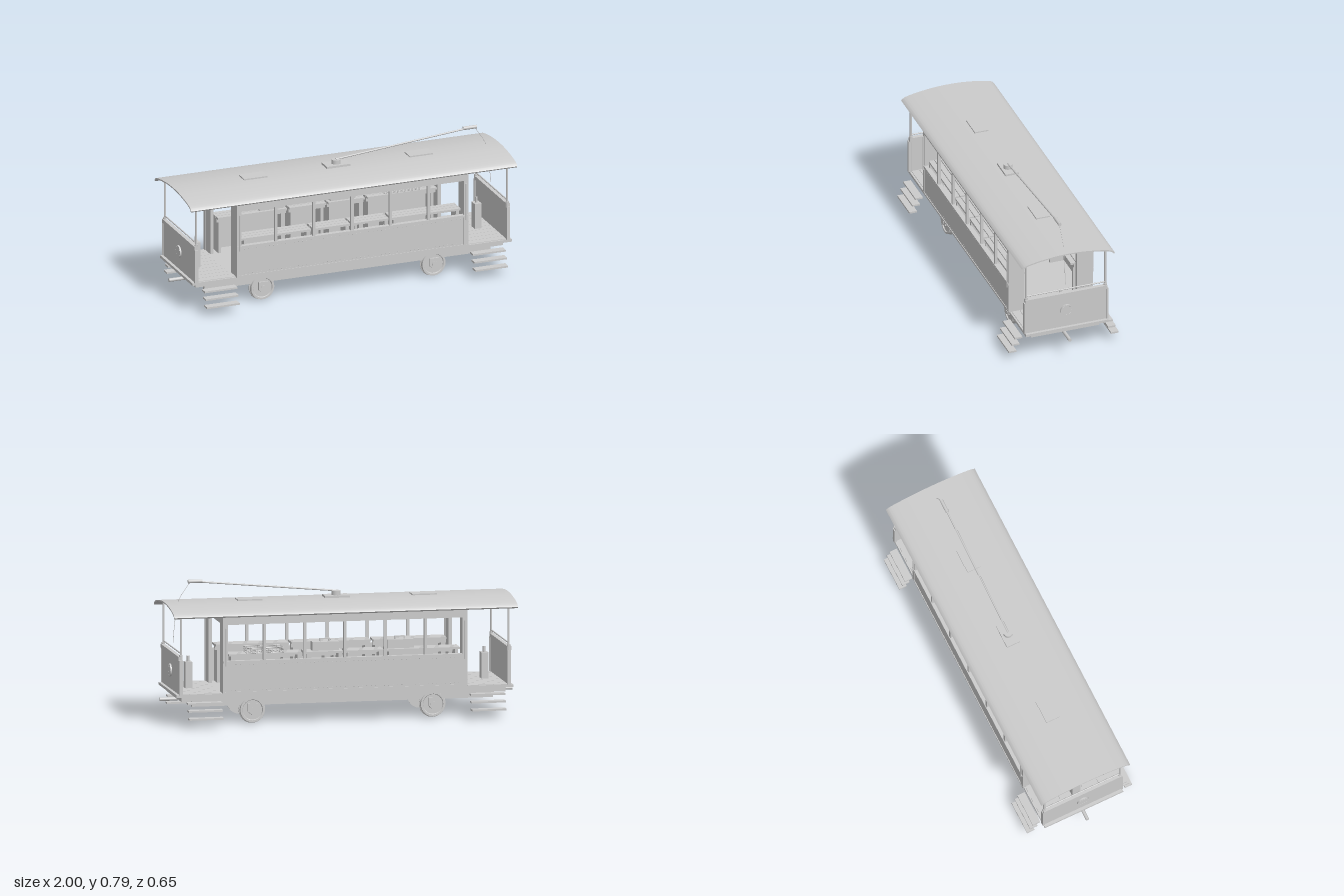
import * as THREE from 'three';
import { toCreasedNormals } from 'three/addons/utils/BufferGeometryUtils.js';

const mat = new THREE.MeshStandardMaterial({ color: 0xcccccc });
const SIDES = [-1, 1];

export function createModel() {
  const root = new THREE.Group();
  root.name = 'tramCar';

  const add = (name, geo, x = 0, y = 0, z = 0) => {
    const m = new THREE.Mesh(geo, mat);
    m.name = name;
    m.position.set(x, y, z);
    root.add(m);
    return m;
  };
  // box from its min/max extents
  const box = (name, x0, x1, y0, y1, z0, z1) =>
    add(name, new THREE.BoxGeometry(Math.abs(x1 - x0), y1 - y0, Math.abs(z1 - z0)),
      (x0 + x1) / 2, (y0 + y1) / 2, (z0 + z1) / 2);
  // round bar between two points
  const rod = (name, a, b, r, seg = 10) => {
    const p = new THREE.Vector3(...a), q = new THREE.Vector3(...b);
    const d = q.clone().sub(p);
    const m = add(name, new THREE.CylinderGeometry(r, r, d.length(), seg), ...p.clone().add(q).multiplyScalar(0.5));
    m.quaternion.setFromUnitVectors(new THREE.Vector3(0, 1, 0), d.normalize());
    return m;
  };

  // Arched roof: thin cross-section swept along the car
  const half = [[0, 0.667], [0.07, 0.665], [0.14, 0.658], [0.2, 0.649], [0.245, 0.639], [0.264, 0.63], [0.275, 0.619]];
  const arch = [...half.slice(1).reverse().map(([z, y]) => [-z, y]), ...half].map(p => new THREE.Vector2(...p));
  const top = new THREE.SplineCurve(arch).getPoints(48);
  const under = top.map(p => new THREE.Vector2(p.x * 0.98, p.y - 0.007)).reverse();
  const roofGeo = new THREE.ExtrudeGeometry(new THREE.Shape([...top, ...under]), { depth: 1.95, bevelEnabled: false });
  roofGeo.translate(0, 0, -0.975).rotateY(Math.PI / 2);
  add('roof', toCreasedNormals(roofGeo, 0.6));
  for (const s of SIDES) {
    box('roofPurlin', -0.93, 0.93, 0.632, 0.646, s * 0.178, s * 0.196);
    box('roofHatch', s * 0.425, s * 0.565, 0.655, 0.674, -0.04, 0.04);
  }

  // Trolley pole, its base and the pull rope
  box('trolleyBase', -0.07, 0.07, 0.66, 0.678, -0.04, 0.04);
  rod('trolleyPivot', [0, 0.678, 0], [0, 0.702, 0], 0.026, 24);
  rod('trolleyPole', [0, 0.702, 0], [0.8, 0.778, 0], 0.005);
  rod('trolleyHead', [0.76, 0.779, 0], [0.84, 0.779, 0], 0.01, 16);
  const rope = new THREE.CatmullRomCurve3([[0.83, 0.775, 0], [0.895, 0.67, 0], [0.915, 0.55, 0], [0.925, 0.44, 0]]
    .map(p => new THREE.Vector3(...p)));
  add('trolleyRope', new THREE.TubeGeometry(rope, 20, 0.0015, 5));

  // Floor, frame and underframe
  box('floor', -0.955, 0.955, 0.165, 0.18, -0.243, 0.243);
  box('chassis', -0.92, 0.92, 0.135, 0.16, -0.2, 0.2);
  box('floorPacking', -0.9, 0.9, 0.16, 0.165, -0.18, 0.18);
  for (const s of SIDES) {
    box('soleBar', -0.855, 0.855, 0.102, 0.135, s * 0.152, s * 0.175);
    for (let i = 0; i < 10; i++)
      box('floorPlank', s * 0.7, s * 0.92, 0.18, 0.183, -0.235 + i * 0.047, -0.191 + i * 0.047);
  }

  // Wheelsets: flanged wheels, axle and axle boxes
  const wheelProfile = [[0, -0.011], [0.075, -0.011], [0.075, -0.007], [0.07, -0.004], [0.069, 0.014], [0.058, 0.014],
    [0.055, 0.008], [0.026, 0.008], [0.024, 0.018], [0, 0.018]].map(p => new THREE.Vector2(...p));
  const wheelGeo = toCreasedNormals(new THREE.LatheGeometry(wheelProfile, 40), 0.5);
  for (const x of [-0.512, 0.512]) {
    rod('axle', [x, 0.077, -0.185], [x, 0.077, 0.185], 0.012, 16);
    for (const s of SIDES) {
      add('wheel', wheelGeo, x, 0.075, s * 0.172).rotation.x = s * Math.PI / 2;
      box('axleBox', x - 0.028, x + 0.028, 0.066, 0.112, s * 0.186, s * 0.196);
      rod('axleCap', [x, 0.077, s * 0.19], [x, 0.077, s * 0.2], 0.016, 16);
    }
  }

  // Saloon sides: panel, sill, letterboard, window posts
  for (const s of SIDES) {
    box('sidePanel', -0.69, 0.69, 0.18, 0.36, s * 0.233, s * 0.247);
    box('sidePanelFoot', -0.69, 0.69, 0.18, 0.19, s * 0.24, s * 0.251);
    box('windowSill', -0.69, 0.69, 0.353, 0.364, s * 0.225, s * 0.253);
    box('letterboard', -0.69, 0.69, 0.567, 0.632, s * 0.235, s * 0.25);
    box('cantRail', -0.695, 0.695, 0.608, 0.622, s * 0.24, s * 0.255);
    for (let i = -2; i <= 2; i++)
      box('windowPost', i * 0.2285 - 0.008, i * 0.2285 + 0.008, 0.36, 0.57, s * 0.233, s * 0.248);
    for (const e of SIDES) {
      box('cornerPost', e * 0.665, e * 0.693, 0.18, 0.63, s * 0.228, s * 0.25);
      rod('grabRail', [e * 0.677, 0.335, s * 0.254], [e * 0.677, 0.55, s * 0.254], 0.004);
    }
    // rivet rows along the side panel
    const rivets = new THREE.InstancedMesh(new THREE.SphereGeometry(0.002, 6, 4), mat, 110);
    rivets.name = 'sideRivets';
    for (let i = 0; i < 110; i++)
      rivets.setMatrixAt(i, new THREE.Matrix4().makeTranslation(-0.67 + (i % 55) * 0.0248, i < 55 ? 0.2 : 0.343, s * 0.247));
    root.add(rivets);

    // Lengthwise bench in sections
    for (const [x0, x1] of [[-0.655, -0.24], [-0.225, -0.006], [0.006, 0.225], [0.24, 0.655]]) {
      for (let k = 0; k < 3; k++)
        box('benchSlat', x0, x1, 0.386, 0.398, s * (0.13 + k * 0.034), s * (0.16 + k * 0.034));
      box('benchApron', x0, x1, 0.364, 0.386, s * 0.15, s * 0.162);
      for (const x of [x0 + 0.02, x1 - 0.02])
        box('benchLeg', x - 0.008, x + 0.008, 0.18, 0.386, s * 0.15, s * 0.23);
    }
  }

  // Luggage on one bench: two suitcases and a wire basket
  for (const x of [-0.325, 0.1]) {
    box('suitcase', x - 0.075, x + 0.075, 0.398, 0.447, -0.2, -0.147);
    for (const d of SIDES) {
      box('suitcaseHandlePost', x + d * 0.022, x + d * 0.028, 0.447, 0.462, -0.177, -0.17);
      box('suitcaseLatch', x + d * 0.04, x + d * 0.05, 0.42, 0.43, -0.147, -0.143);
    }
    box('suitcaseHandle', x - 0.028, x + 0.028, 0.459, 0.465, -0.178, -0.169);
  }
  for (const y of [0.402, 0.416, 0.428]) {
    for (const z of [-0.135, -0.23]) rod('basketWire', [0.345, y, z], [0.555, y, z], 0.0018, 5);
    for (const x of [0.345, 0.555]) rod('basketWire', [x, y, -0.135], [x, y, -0.23], 0.0018, 5);
  }
  for (let i = 0; i <= 10; i++) {
    const x = 0.345 + i * 0.021;
    for (const z of [-0.135, -0.23]) rod('basketUpright', [x, 0.4, z], [x, 0.43, z], 0.0018, 5);
    rod('basketFloorWire', [x, 0.402, -0.135], [x, 0.402, -0.23], 0.0018, 5);
  }

  // Both ends: bulkhead, platform, dash, steps and coupler
  for (const e of SIDES) {
    box('bulkheadHeader', e * 0.67, e * 0.69, 0.565, 0.631, -0.25, 0.25);
    box('dashPanel', e * 0.928, e * 0.938, 0.18, 0.375, -0.24, 0.24);
    box('dashRail', e * 0.922, e * 0.944, 0.374, 0.395, -0.243, 0.243);
    rod('dashHandrail', [e * 0.93, 0.414, -0.238], [e * 0.93, 0.414, 0.238], 0.004);
    rod('headlight', [e * 0.936, 0.285, 0], [e * 0.947, 0.285, 0], 0.035, 32);
    for (let i = 0; i < 24; i++) {
      const a = i * Math.PI / 12;
      add('headlightRivet', new THREE.SphereGeometry(0.0015, 6, 4), e * 0.947, 0.285 + 0.029 * Math.sin(a), 0.029 * Math.cos(a));
    }
    rod('coupler', [e * 0.9, 0.122, 0], [e, 0.122, 0], 0.01, 16);
    box('controller', e * 0.82, e * 0.86, 0.18, 0.33, -0.025, 0.025);
    rod('controllerSpindle', [e * 0.84, 0.33, 0], [e * 0.84, 0.362, 0], 0.007);
    for (const s of SIDES) {
      box('bulkheadPanel', e * 0.67, e * 0.69, 0.18, 0.6, s * 0.155, s * 0.24);
      rod('platformPole', [e * 0.93, 0.18, s * 0.234], [e * 0.93, 0.635, s * 0.234], 0.006, 12);
      rod('poleCollar', [e * 0.93, 0.37, s * 0.234], [e * 0.93, 0.405, s * 0.234], 0.01, 12);
      box('dashEdge', e * 0.922, e * 0.942, 0.18, 0.375, s * 0.236, s * 0.249);
      for (const [y, z] of [[0.135, 0.245], [0.095, 0.262], [0.053, 0.28]])
        box('step', e * 0.705, e * 0.9, y - 0.005, y + 0.005, s * z, s * (z + 0.045));
    }
  }
  return root;
}
